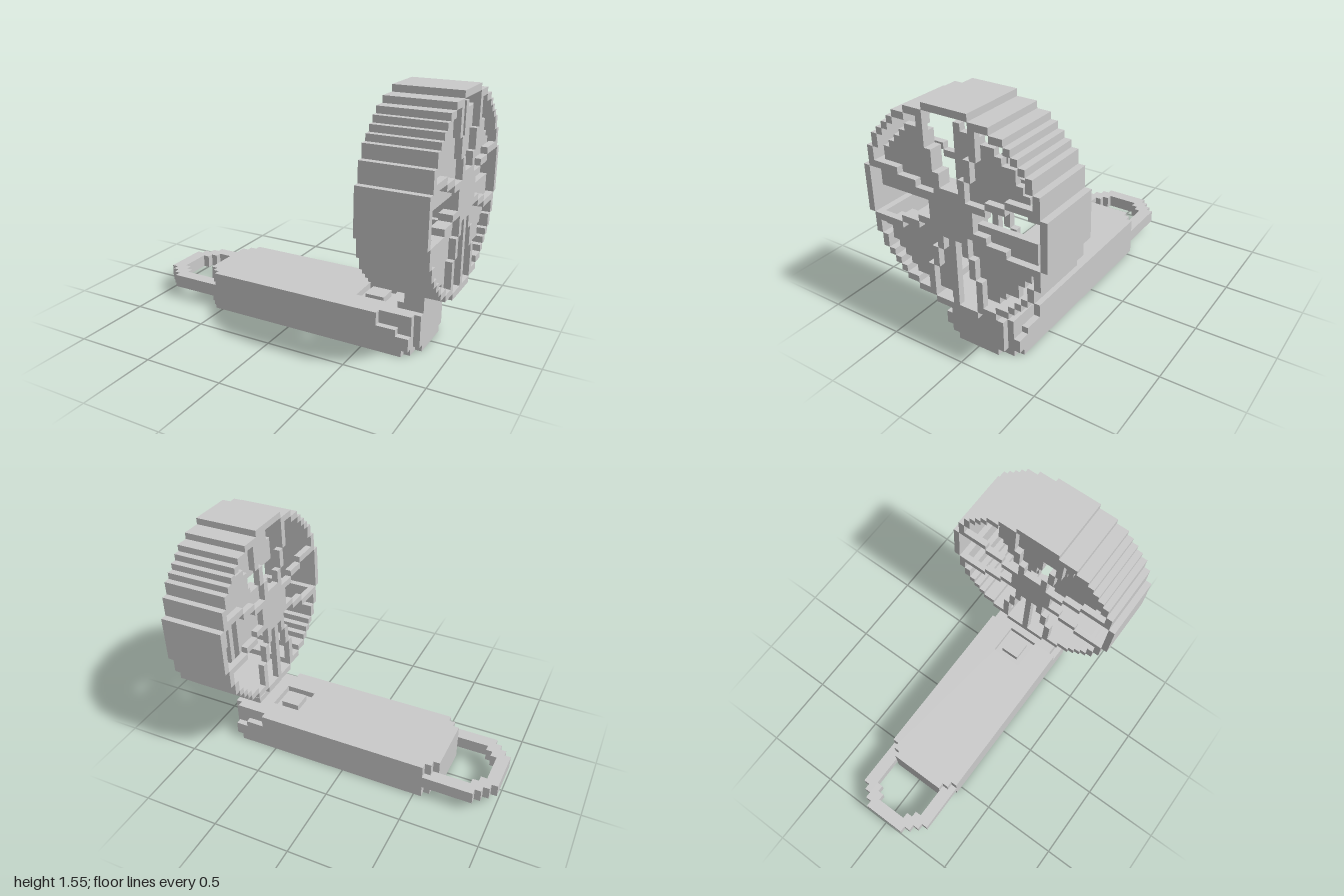
import * as THREE from 'three';
import { mergeGeometries } from 'three/addons/utils/BufferGeometryUtils.js';

const V = 2 / 49;            // edge of one block
const AXIS = 23.5;           // height of the fan axis, in blocks
const mat = new THREE.MeshStandardMaterial({ color: 0xcccccc, flatShading: true });

// Box given by its limits in blocks; x is counted from the loop end, z from the middle
function block(x0, x1, y0, y1, z0, z1) {
  const g = new THREE.BoxGeometry((x1 - x0) * V, (y1 - y0) * V, (z1 - z0) * V);
  g.translate(((x0 + x1) / 2) * V - 1, ((y0 + y1) / 2) * V, ((z0 + z1) / 2) * V);
  return g;
}

// Blocky disc part: fills each cell (z, u) around the fan axis that passes the test
function cells(x0, x1, test) {
  const parts = [];
  for (let u = -14; u <= 14; u++) {
    let start = null;
    for (let z = -14; z <= 15; z++) {
      const on = z < 15 && test(z, u);
      if (on && start === null) start = z;
      if (!on && start !== null) {
        parts.push(block(x0, x1, AXIS + u - 0.5, AXIS + u + 0.5, start - 0.5, z - 0.5));
        start = null;
      }
    }
  }
  return mergeGeometries(parts);
}

// Horizontal slab from an outline in (x, z) blocks, with optional holes
function slab(y0, y1, outline, holes = []) {
  const pts = (l) => l.map(([x, z]) => new THREE.Vector2(x * V - 1, -z * V));
  const shape = new THREE.Shape(pts(outline));
  holes.forEach((h) => shape.holes.push(new THREE.Path(pts(h))));
  const g = new THREE.ExtrudeGeometry(shape, { depth: (y1 - y0) * V, bevelEnabled: false });
  g.rotateX(-Math.PI / 2);
  g.translate(0, y0 * V, 0);
  return g;
}

// Completes a half outline (x rising) by mirroring it across z = 0
const mirrored = (half) => [...half, ...half.map(([x, z]) => [x, -z]).reverse()];

export function createModel() {
  const root = new THREE.Group();
  root.name = 'handheldFan';
  const add = (name, geometry) => {
    const m = new THREE.Mesh(geometry, mat);
    m.name = name;
    root.add(m);
  };

  // Grip body, stepped at both ends and cut back beside the neck
  const back = [[9, 4.5], [10, 4.5], [10, 5.5], [11, 5.5], [11, 6.5]];
  const plan = (...end) => mirrored([...back, ...end]);
  const upper = (x) => plan([x, 6.5], [x, 5.5], [44, 5.5], [44, 4.5], [45, 4.5]);
  const recess = mirrored([[34, 2.5], [39, 2.5]]);
  add('bodyBottom', slab(0, 1, plan([43, 6.5], [43, 5.5], [44, 5.5], [44, 3.5], [45, 3.5])));
  add('bodyMiddle', slab(1, 3, plan([44, 6.5], [44, 4.5], [45, 4.5])));
  add('bodyUpper', slab(3, 4, upper(42)));
  add('bodyShoulder', slab(4, 5, upper(39)));
  add('bodyTop', slab(5, 6, upper(39), [recess]));
  add('button', block(35, 38, 5, 6, -1.5, 1.5));

  // Carrying loop
  const loopOuter = mirrored([[0, 3.5], [1, 3.5], [1, 4.5], [2, 4.5], [2, 5.5], [3, 5.5], [3, 6.5], [11, 6.5]]);
  const loopInner = mirrored([[2, 2.5], [3, 2.5], [3, 3.5], [4, 3.5], [4, 4.5], [9, 4.5]]);
  add('carryLoop', slab(2, 4, loopOuter, [loopInner]));

  // Neck
  add('neck', block(42, 45, 6, 9.5, -3.5, 3.5));
  add('neckStep', block(41, 42, 6, 7, -3.5, 3.5));

  // Round housing: the outermost cells of a stepped disc
  const reach = [14, 14, 14, 14, 13, 13, 13, 12, 12, 11, 10, 9, 8, 6, 3];
  const inDisc = (z, u) => Math.abs(u) <= 14 && Math.abs(z) <= reach[Math.abs(u)];
  const onRim = (z, u) => inDisc(z, u) &&
    !(inDisc(z + 1, u) && inDisc(z - 1, u) && inDisc(z, u + 1) && inDisc(z, u - 1));
  add('housingRing', cells(39, 49, onRim));

  // Four flat blades behind the front grille, set slightly low on the axis
  const onBlade = (z, u) => {
    const r = Math.hypot(z - 0.3, u + 0.5);
    const a = (Math.atan2(-z, u) * 180 / Math.PI + 360) % 90;
    return r > 3 && r < 12.6 && a >= 3 && a <= 70;
  };
  add('blades', cells(47, 48, onBlade));

  // Grille on both sides: hub plate, eight stepped spokes and a strut up from the neck
  const onHub = (z, u) => Math.max(Math.abs(z), Math.abs(u)) <= 3 && Math.abs(z) + Math.abs(u) <= 5;
  const onSpoke = (z, u) => {
    const long = Math.max(Math.abs(z), Math.abs(u));
    const short = Math.min(Math.abs(z), Math.abs(u));
    return long > 2 && inDisc(z, u) && short === Math.round(0.32 * long + 0.65);
  };
  const onStrut = (z, u) => z === 0 && u < -3 && u > -14;
  const onGrille = (z, u) => !onRim(z, u) && (onHub(z, u) || onSpoke(z, u) || onStrut(z, u));
  add('frontGrille', cells(48, 49, onGrille));
  add('rearGrille', cells(39, 40, onGrille));
  add('motorHub', cells(46, 48, onHub));

  return root;
}
